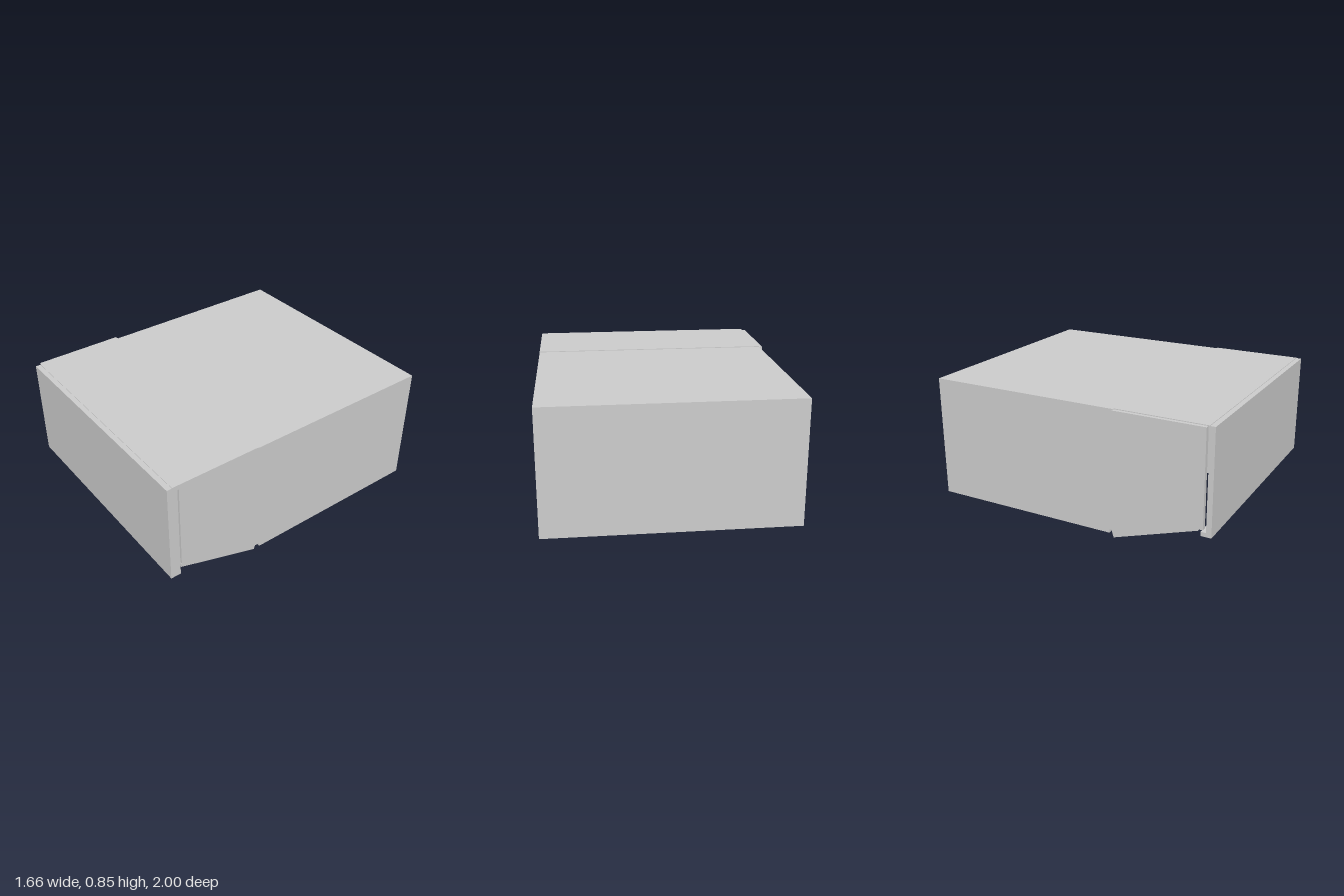
import * as THREE from 'three';

export function createModel() {
  const model = new THREE.Group();
  const material = new THREE.MeshStandardMaterial({ color: 0xcccccc, flatShading: true });

  function add(name, geometry) {
    const mesh = new THREE.Mesh(geometry, material);
    mesh.name = name;
    model.add(mesh);
    return mesh;
  }

  // Panel given by its extents on each axis
  function panel(name, [x0, x1], [y0, y1], [z0, z1]) {
    const mesh = add(name, new THREE.BoxGeometry(x1 - x0, y1 - y0, z1 - z0));
    mesh.position.set((x0 + x1) / 2, (y0 + y1) / 2, (z0 + z1) / 2);
  }

  // Outline in (z, y) extruded across x
  function sidePlate(name, outline, x0, x1) {
    const shape = new THREE.Shape(outline.map(([z, y]) => new THREE.Vector2(-z, y)));
    const geometry = new THREE.ExtrudeGeometry(shape, { depth: x1 - x0, bevelEnabled: false });
    geometry.rotateY(Math.PI / 2);
    geometry.translate(x0, 0, 0);
    add(name, geometry);
  }

  // Rear housing, a thin-walled shell open towards the front
  panel('floor', [-0.81, 0.83], [0.015, 0.04], [-1, 0.31]);
  panel('backWall', [-0.81, 0.83], [0.04, 0.848], [-1, -0.97]);
  panel('rearTop', [-0.81, 0.83], [0.82, 0.848], [-0.97, 0.345]);
  panel('rearSideWall', [-0.81, -0.78], [0.04, 0.82], [-0.97, 0.34]);

  // Full-length side wall with a slanted lower front edge
  sidePlate('longSideWall', [
    [-0.97, 0.04], [0.34, 0.04], [0.92, 0.205], [0.92, 0.82], [-0.97, 0.82],
  ], 0.8, 0.83);

  // Raised top cover over the front compartment
  panel('frontTop', [-0.81, 0.83], [0.82, 0.853], [0.345, 0.965]);

  // Separate side panel, standing slightly proud of the housing
  sidePlate('frontSidePanel', [
    [0.345, 0.035], [0.92, 0.205], [0.955, 0.205], [0.955, 0.848], [0.345, 0.848],
  ], -0.835, -0.805);

  // Inward flanges along both slanted edges
  const flange = [[0.355, 0.005], [0.925, 0.195], [0.925, 0.22], [0.345, 0.035]];
  sidePlate('slantedFlange', flange, -0.835, -0.75);
  sidePlate('slantedFlange', flange.map(([z, y]) => [z, y + 0.008]), 0.775, 0.83);

  // Front panel with folded-back edges
  panel('frontPanel', [-0.81, 0.83], [0.15, 0.85], [0.965, 1]);
  panel('frontBottomLip', [-0.81, 0.83], [0.15, 0.178], [0.93, 0.965]);
  panel('frontSideReturn', [0.8, 0.83], [0.178, 0.82], [0.93, 0.965]);
  panel('cornerPost', [0.77, 0.8], [0.18, 0.82], [0.9, 0.965]);

  // Inner corner compartment, open at the bottom
  panel('compartmentRearWall', [-0.805, -0.31], [0.34, 0.82], [0.73, 0.755]);
  panel('compartmentSideWall', [-0.335, -0.31], [0.34, 0.82], [0.755, 0.965]);

  return model;
}
